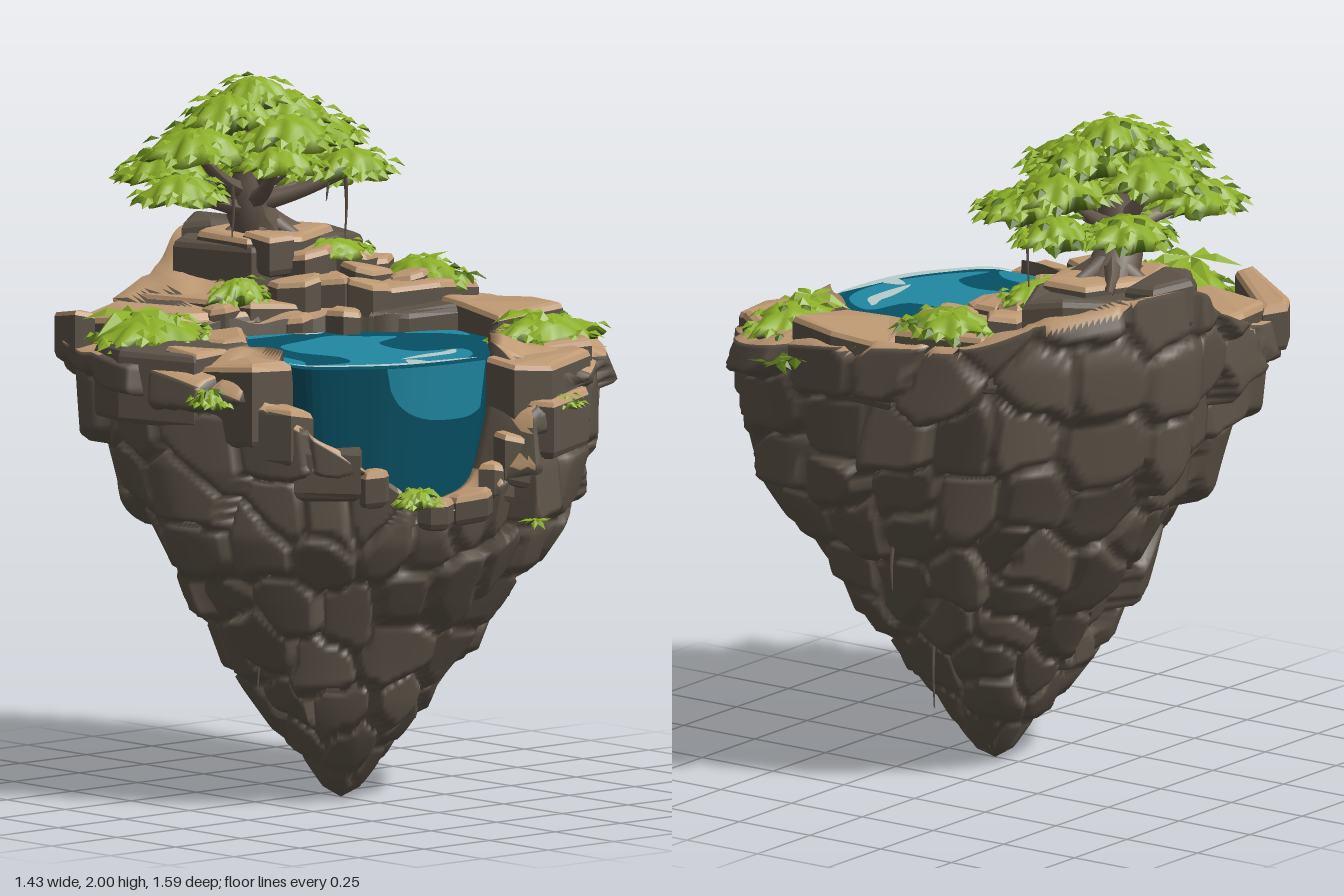
import * as THREE from 'three';

const mat = (name, color, side = THREE.FrontSide) => Object.assign(new THREE.MeshStandardMaterial({ color, side }), { name });
const V = (x, y, z) => new THREE.Vector3(x, y, z);
const { smoothstep, lerp } = THREE.MathUtils;

export function createModel() {
  const root = new THREE.Group();
  const rock = mat('rock', 0x5d5448), tan = mat('sandstone', 0xbf9a74), bark = mat('bark', 0x65574b);
  const leafMat = mat('leaf green', 0x8aad27, THREE.DoubleSide), deepLeaf = mat('deep leaf green', 0x4f6e10, THREE.DoubleSide);
  const water = mat('deep water', 0x065064), shallow = mat('bright water', 0x1f88a2, THREE.DoubleSide);
  const foam = mat('foam', 0xb8cccc, THREE.DoubleSide);
  let seed = 7;
  const rnd = (a = 0, b = 1) => { seed = (seed * 16807) % 2147483647; return a + (b - a) * seed / 2147483647; };
  const add = (name, geo, m, parent = root) => {
    const mesh = new THREE.Mesh(geo, m);
    mesh.name = name;
    parent.add(mesh);
  };

  // Sorts triangles into two material groups; paint(normal, corner, corner number) gives 0 or 1
  function paintFaces(g, idx, paint) {
    const lists = [[], []], a = V(), b = V(), c = V(), p = g.attributes.position;
    for (let i = 0; i < idx.length; i += 3) {
      [a, b, c].forEach((v, k) => v.fromBufferAttribute(p, idx[i + k]));
      const n = b.sub(a).cross(c.sub(a)).normalize();
      lists[paint(n, a, idx[i])].push(idx[i], idx[i + 1], idx[i + 2]);
    }
    g.clearGroups();
    g.setIndex([...lists[0], ...lists[1]]);
    g.addGroup(0, lists[0].length, 0);
    g.addGroup(lists[0].length, lists[1].length, 1);
    g.computeVertexNormals();
    return g;
  }
  // Closed loops of points joined into a skin
  function loft(rows, paint) {
    const n = rows[0].length, idx = [];
    for (let i = 0; i < rows.length - 1; i++) for (let j = 0; j < n; j++) {
      const a = i * n + j, c = i * n + (j + 1) % n;
      idx.push(a, a + n, c, a + n, c + n, c);
    }
    return paintFaces(new THREE.BufferGeometry().setFromPoints(rows.flat()), idx, paint);
  }

  // Matching points of the cliff rim (x, y, z) and the pond edge (x, z)
  const edge = [
    [.17, 1.54, -.76, .08, -.13], [.51, 1.49, -.52, .2, -.08], [.62, 1.4, -.3, .25, 0], [.64, 1.36, 0, .42, .1],
    [.65, 1.32, .3, .39, .3], [.59, 1.28, .5, .28, .4], [.4, 1.25, .69, .2, .5], [.18, 1.17, .76, .13, .57],
    [.08, .97, .75, .05, .58], [-.05, .9, .73, -.05, .575], [-.2, .91, .66, -.18, .55], [-.31, .98, .59, -.29, .49],
    [-.45, 1.1, .45, -.4, .39], [-.55, 1.2, .3, -.4, .28], [-.64, 1.26, .1, -.38, .12], [-.69, 1.29, -.08, -.33, .05],
    [-.64, 1.3, -.25, -.26, -.03], [-.56, 1.29, -.38, -.28, -.14], [-.45, 1.3, -.58, -.29, -.27],
    [-.25, 1.33, -.64, -.18, -.23], [0, 1.44, -.69, -.05, -.19]];
  const rim = new THREE.CatmullRomCurve3(edge.map(e => V(e[0], e[1], e[2])), true, 'centripetal');
  const pond = new THREE.CatmullRomCurve3(edge.map(e => V(e[3], 1.3, e[4])), true, 'centripetal');

  // Cliff width against height
  const widths = [[0, 0], [.03, .07], [.1, .14], [.2, .24], [.4, .42], [.6, .61], [.8, .79], [1, .9], [1.2, .97], [1.35, 1], [2, 1]];
  const widthAt = y => {
    const k = Math.max(1, widths.findIndex(w => w[0] >= y)), [a, b] = [widths[k - 1], widths[k]];
    return lerp(a[1], b[1], (y - a[0]) / (b[0] - a[0]));
  };

  // Stone blocks: staggered cells with their own offset and tilt, larger towards the top
  const cells = [];
  for (let y = .06; y < 1.7; y += .12 + .06 * y) {
    const n = Math.max(5, Math.round(4.4 * widthAt(y) / (.15 + .05 * y))), o = rnd();
    for (let j = 0; j < n; j++) cells.push({
      u: ((j + o + rnd(-.32, .32)) / n + 1) % 1, y: y + rnd(-.055, .055), off: rnd(-.018, .036), tu: rnd(-.2, .2), ty: rnd(-.5, 0) });
  }
  function stone(u, y, s) {
    let d1 = 9, d2 = 9, cell, cu, cy;
    for (const c of cells) {
      const dy = y - c.y;
      if (Math.abs(dy) > .4) continue;
      const dt = u - c.u, du = (dt - Math.round(dt)) * 4.4 * s;
      const d = (du ** 4 + (dy * .9) ** 4) ** .25;
      if (d < d1) { d2 = d1; d1 = d; cell = c; cu = du; cy = dy; } else if (d < d2) d2 = d;
    }
    return (cell.off + cell.tu * cu + cell.ty * cy - .028 * (1 - smoothstep(d2 - d1, 0, .026))) * Math.min(1, s * 3);
  }

  // Cliff body, level courses from its tip, then up to the rim, over the top and into the pond
  const N = 280, M = 96, rows = [];
  for (let i = 0; i <= M + 10; i++) {
    const row = [];
    for (let j = 0; j < N; j++) {
      const t = rim.getUtoTmapping(j / N), r = rim.getPoint(t), p = pond.getPoint(t);
      if (i <= M) {
        const y = i < 58 ? .85 * i / 58 : lerp(.85, r.y, (i - 58) / (M - 58));
        const s = widthAt(y), d = stone(j / N, y, s) / Math.hypot(r.x, r.z);
        row.push(V(r.x * (s + d), y, r.z * (s + d) + .085 * (1 - smoothstep(y, .7, 1.4))));
      } else {
        const f = Math.min(1, (i - M) / 8), inner = r.y > 1.19 ? 1.33 : r.y;
        const q = rows[M][j].clone().lerp(V(p.x, inner, p.z), f);
        q.y = i > M + 8 ? Math.min(.85, inner) : q.y + .012 * Math.sin(q.x * 31) * Math.sin(q.z * 27 + 1) + .012 * Math.min(1, f * 6);
        row.push(q);
      }
    }
    rows.push(row);
  }
  add('cliffBody', loft(rows, (n, p, k) => k >= N * (M - 1) && n.y > .4 && Math.sin(p.x * 13 + 1) + Math.sin(p.z * 15) > -1.1 ? 1 : 0), [rock, tan]);

  // Bevelled slabs along the top
  const flatShape = pts => new THREE.Shape(pts.map(([x, z]) => new THREE.Vector2(x, -z)));
  function slab(name, pts, y0, y1, top = tan, lean = 0) {
    const b = .02;
    const g = new THREE.ExtrudeGeometry(flatShape(pts), { depth: y1 - y0 - 2 * b, bevelSize: b, bevelOffset: -b, bevelThickness: b, bevelSegments: 2 });
    g.rotateX(-Math.PI / 2).translate(0, y0 + b, 0);
    const a = g.attributes.position;
    for (let i = 0; i < a.count; i++) a.setY(i, a.getY(i) + lean * a.getX(i) + .012 * Math.sin(a.getX(i) * 17 + a.getZ(i) * 11));
    add(name, paintFaces(g, Array.from({ length: a.count }, (_, i) => i), n => n.y > .3 ? 1 : 0), [rock, top]);
  }
  slab('leftSlab', [[-.69, -.09], [-.62, -.27], [-.45, -.34], [-.3, -.25], [-.25, -.05], [-.37, .11], [-.59, .12]], 1.12, 1.335, rock);
  slab('leftSlabCap', [[-.42, -.08], [-.3, -.16], [-.25, -.05], [-.37, .1], [-.43, .06]], 1.2, 1.35);
  slab('leftOuterSlab', [[-.6, .01], [-.47, .03], [-.46, .12], [-.58, .12]], 1.2, 1.345);
  slab('backLeftSlab', [[-.43, -.56], [-.24, -.62], [-.1, -.58], [-.05, -.2], [-.28, -.27], [-.43, -.36]], 1.2, 1.36);
  slab('backSlab', [[-.14, -.62], [.02, -.64], [.1, -.5], [.08, -.18], [-.08, -.21]], 1.2, 1.39);
  slab('treeTerrace', [[-.01, -.62], [.16, -.72], [.3, -.66], [.47, -.5], [.5, -.38], [.36, -.32], [.04, -.34]], 1.34, 1.53, rock);
  slab('treeTerraceCap', [[.02, -.55], [.16, -.6], [.36, -.5], [.37, -.36], [.2, -.3], [.04, -.36]], 1.4, 1.55);
  slab('rearBoulder', [[.05, -.65], [.17, -.74], [.28, -.68], [.28, -.58], [.1, -.58]], 1.42, 1.565, rock);
  slab('rightRearSlab', [[.48, -.38], [.59, -.3], [.62, -.02], [.44, .02], [.25, -.07], [.3, -.25]], 1.25, 1.42);
  slab('rightInnerSlab', [[.22, -.04], [.3, -.12], [.46, -.05], [.44, .12], [.3, .04]], 1.2, 1.365, rock);
  slab('rightSlab', [[.44, .02], [.64, -.02], [.66, .18], [.61, .35], [.39, .32], [.42, .13]], 1.18, 1.38);
  slab('frontRightSlab', [[.27, .41], [.4, .32], [.61, .31], [.59, .48], [.47, .63], [.28, .52]], 1.12, 1.32);
  slab('frontSlab', [[.12, .57], [.26, .47], [.46, .56], [.42, .68], [.22, .74], [.13, .68]], 1.08, 1.3);
  slab('frontLowSlab', [[.14, .66], [.25, .66], [.42, .66], [.36, .74], [.2, .77]], 1.03, 1.2);
  slab('leftStepHigh', [[-.56, .12], [-.39, .11], [-.4, .33], [-.54, .31]], 1.07, 1.31);
  slab('leftStepMiddle', [[-.53, .28], [-.4, .28], [-.395, .41], [-.48, .41]], 1.02, 1.19);
  slab('leftStepLow', [[-.46, .4], [-.39, .38], [-.29, .5], [-.34, .55]], .93, 1.08, rock);
  slab('leaningStone', [[-.58, -.4], [-.53, -.37], [-.38, -.58], [-.43, -.63], [-.47, -.61]], 1.07, 1.21, tan, -.36);

  // Loose stones: x, z, radius, bottom, top
  [[.16, -.08, .06, 1.25, 1.36], [.27, -.1, .07, 1.3, 1.44], [.06, -.17, .05, 1.25, 1.36], [-.15, -.27, .06, 1.28, 1.38],
    [.33, -.18, .08, 1.35, 1.47], [.42, -.1, .06, 1.35, 1.45], [.08, .66, .06, .9, 1.01], [.13, .69, .06, .95, 1.1],
    [-.12, .63, .06, .85, .94], [-.02, .66, .07, .85, .94], [-.29, .55, .05, .9, 1.01], [.11, -.24, .08, 1.3, 1.45], [.21, -.2, .08, 1.3, 1.44],
    [.36, -.28, .08, 1.35, 1.5], [.22, -.3, .09, 1.4, 1.51], [.12, -.36, .08, 1.45, 1.57], [.45, -.3, .07, 1.35, 1.48]].forEach(([x, z, r, y0, y1], k) => {
    const n = 5 + k % 3, pts = Array.from({ length: n }, (_, i) => {
      const a = (i + rnd(-.2, .2)) * Math.PI * 2 / n + k, q = r * rnd(.8, 1.15);
      return [x + q * Math.cos(a), z + q * Math.sin(a)];
    });
    slab('looseStone', pts, y0, y1);
  });

  // Pond narrowing downwards behind its open front wall, with bright patches and foam
  const taper = (x, y, z, out = 0) => {
    const k = 1 - .14 * (1.3 - y) / .46;
    return V(-.06 + (x + .06) * k, y, .2 + (z - .2) * k + out);
  };
  const outline = Array.from({ length: 120 }, (_, i) => { const p = pond.getPoint(i / 120); return [p.x, p.z]; });
  const body = new THREE.ExtrudeGeometry(flatShape(outline), { depth: .42, bevelEnabled: false }).rotateX(-Math.PI / 2).translate(0, .88, 0);
  const bp = body.attributes.position;
  for (let i = 0; i < bp.count; i++) bp.setXYZ(i, ...taper(bp.getX(i), bp.getY(i), bp.getZ(i)));
  body.computeVertexNormals();
  add('pondWater', body, water);
  const plate = (name, pts, y, m) => {
    const c = new THREE.CatmullRomCurve3(pts.map(([x, z]) => V(x, 0, z)), true, 'centripetal');
    add(name, new THREE.ShapeGeometry(flatShape(c.getPoints(70).slice(0, -1).map(p => [p.x, p.z]))).rotateX(-Math.PI / 2).translate(0, y, 0), m);
  };
  plate('brightWaterCentre', [[-.18, .03], [-.05, -.01], [.07, -.03], [.13, .04], [.2, .1], [.07, .17], [.05, .35], [.18, .4], [.11, .52],
    [-.05, .545], [-.26, .46], [-.36, .37], [-.24, .39], [-.19, .3], [-.22, .15]], 1.304, shallow);
  plate('brightWaterLeft', [[-.38, .14], [-.3, .06], [-.25, .02], [-.3, .14], [-.33, .3], [-.385, .35]], 1.304, shallow);
  plate('brightWaterBack', [[-.26, -.2], [-.14, -.19], [.02, -.13], [-.08, -.13], [-.2, -.15]], 1.304, shallow);
  plate('brightWaterRight', [[.26, .06], [.4, .12], [.37, .22], [.34, .15]], 1.304, shallow);
  function ribbon(name, pairs, m) {
    const g = new THREE.BufferGeometry().setFromPoints(pairs.flat()), idx = [];
    for (let i = 0; i < pairs.length - 1; i++) idx.push(2 * i, 2 * i + 1, 2 * i + 2, 2 * i + 1, 2 * i + 3, 2 * i + 2);
    g.setIndex(idx);
    g.computeVertexNormals();
    add(name, g, m);
  }
  const steps = Array.from({ length: 31 }, (_, i) => i / 30);
  ribbon('brightFrontWater', steps.map(f => {
    const p = pond.getPoint(lerp(7.3, 10.4, f) / 21), u = (f - .4) / .6;
    return [taper(p.x, 1.3, p.z, .006), taper(p.x, 1.298 - .16 * Math.sqrt(1 - Math.abs(u) ** 3), p.z, .006)];
  }).reverse(), shallow);
  const foamArc = (name, a, b, k, w) => ribbon(name, steps.map(f => {
    const p = pond.getPoint(lerp(a, b, f) / 21), h = w * Math.sin(Math.PI * f) ** .6;
    const at = s => V(-.03 + (p.x + .03) * s, 1.308, .12 + (p.z - .12) * s);
    return [at(k), at(k - h)];
  }), foam);
  foamArc('rimFoam', 7.5, 12.8, .99, .075);
  foamArc('innerFoam', 6, 9.6, .77, .1);
  foamArc('foamLink', 9.2, 9.7, .93, .14);
  foamArc('backFoam', 17.4, 18.6, .9, .05);
  foamArc('smallFoam', 20.4, 21.2, .8, .08);

  // One folded leaf as four triangles
  function leaf(out, p, yaw, len, wid, drop) {
    const at = (f, s, y) => V(p.x + Math.cos(yaw) * f - Math.sin(yaw) * s, p.y + y, p.z + Math.sin(yaw) * f + Math.cos(yaw) * s);
    const B = at(0, 0, 0), L = at(len * .5, wid, -drop * .3), R = at(len * .5, -wid, -drop * .3), Mid = at(len * .5, 0, wid * .3), T = at(len, 0, -drop);
    out.push(B, L, Mid, L, T, Mid, B, Mid, R, Mid, T, R);
  }
  const leafMesh = (name, pts, m, parent) => {
    const g = new THREE.BufferGeometry().setFromPoints(pts);
    g.computeVertexNormals();
    add(name, g, m, parent);
  };
  // Lumpy cushion with a toothed edge and shingled leaves
  function foliage(name, x, y, z, rx, rz, h, droop, size, count) {
    const g = new THREE.Group(), k = rnd(0, 6), n = 54, loops = [], light = [], dark = [];
    g.name = name;
    root.add(g);
    const at = (f, a) => {
      const tooth = 1 + .15 * f * f * Math.sin(a * 9 + k) + .1 * f * Math.sin(a * 4 + k * 2);
      return V(x + rx * f * tooth * Math.cos(a), y + h * (1 - f ** 2) - droop * f ** 3 + .35 * h * Math.sin(a * 5 + f * 8 + k) * f * (1 - f * .5), z + rz * f * tooth * Math.sin(a));
    };
    for (const f of [0, .5, 1, .85, .65, .45, .22, 0]) loops.push(Array.from({ length: n }, (_, j) => {
      const p = at(f, j / n * Math.PI * 2);
      if (loops.length < 2) p.y = y - droop * .5;
      return p;
    }));
    add('cushion', loft(loops, nn => nn.y > .35 ? 0 : 1), [leafMat, deepLeaf], g);
    for (let i = 0; i < count; i++) {
      const f = i % 2 ? .88 : Math.sqrt(rnd(.05, .8)), a = i * 2.4, p = at(f, a);
      p.y += .004;
      leaf(i % 5 ? light : dark, p, a + rnd(-.4, .4), size * rnd(.8, 1.3), size * .4, size * (.1 + .4 * f));
    }
    leafMesh('leaves', light, leafMat, g);
    leafMesh('shadedLeaves', dark, deepLeaf, g);
  }
  const fern = (x, y, z, r, n = 8) => {
    const pts = [];
    for (let i = 0; i < n; i++) leaf(pts, V(x, y, z), i / n * Math.PI * 2 + rnd(-.2, .2), r * rnd(.85, 1.15), r * .2, r * rnd(-.1, .5));
    leafMesh('fern', pts, n % 2 ? deepLeaf : leafMat, root);
  };

  // Grass mounds and ferns
  [[-.46, 1.34, -.2, .18, .15, .05], [.45, 1.33, .45, .18, .11, .05], [.52, 1.42, -.15, .11, .14, .05], [.31, 1.5, -.29, .13, .07, .03],
    [-.04, 1.4, -.3, .1, .07, .05], [-.19, .93, .62, .06, .05, .03], [-.6, 1.21, .19, .04, .06, .03], [.28, 1.18, .74, .05, .02, .02]]
    .forEach(m => foliage('grassMound', ...m, .02, .02 + m[4] * .2, 24));
  [[-.52, 1.41, -.22, .14, 6], [.4, 1.39, .44, .1, 6], [.55, 1.47, -.17, .08, 6], [.64, 1.28, .32, .09, 9], [-.19, .96, .64, .07, 8], [.12, .86, .78, .05, 8],
    [-.6, 1.24, .2, .05, 7], [.6, 1.43, -.05, .06, 7], [.65, 1.26, .38, .07, 7], [-.42, 1.4, -.14, .06, 8]].forEach(f => fern(...f));

  // Tapered limbs of the tree
  function limb(name, pts, r0, r1, sides = 8) {
    const c = new THREE.CatmullRomCurve3(pts.map(p => V(...p))), n = 12, g = new THREE.TubeGeometry(c, n, 1, sides), a = g.attributes.position, v = V();
    for (let i = 0; i < a.count; i++) {
      const f = Math.floor(i / (sides + 1)) / n, p = c.getPointAt(f);
      v.fromBufferAttribute(a, i).sub(p).multiplyScalar(lerp(r0, r1, f)).add(p);
      a.setXYZ(i, v.x, v.y, v.z);
    }
    g.computeVertexNormals();
    add(name, g, bark);
  }
  limb('trunk', [[.21, 1.47, -.46], [.17, 1.56, -.46], [.12, 1.63, -.45], [.13, 1.75, -.43], [.14, 1.93, -.43]], .09, .02, 10);
  for (let i = 0; i < 6; i++) {
    const a = i * 1.05 + .3, c = Math.cos(a), s = Math.sin(a);
    limb('root', [[.18, 1.6, -.46], [.19 + c * .07, 1.56, -.46 + s * .07], [.2 + c * .15, 1.53, -.46 + s * .13]], .035, .012, 6);
  }

  // Canopy pads, each carried by a branch
  [[-.16, 1.7, -.42, .12, .045], [.39, 1.71, -.42, .11, .045], [.33, 1.75, -.24, .12, .045], [.04, 1.79, -.23, .12, .04], [.26, 1.71, -.58, .13, .045],
    [-.09, 1.74, -.57, .13, .045], [-.11, 1.82, -.4, .15, .055], [.33, 1.82, -.4, .14, .055], [.12, 1.85, -.28, .14, .055], [.13, 1.84, -.56, .15, .055],
    [.04, 1.9, -.43, .13, .055], [.22, 1.89, -.4, .13, .055], [.14, 1.95, -.44, .11, .045]].forEach(([x, y, z, r, h], i) => {
    foliage('canopyPad', x, y, z, r, r * .95, h, .03, .05, 30);
    if (i < 10) limb('branch', [[.13, 1.61 + i * .008, -.45], [lerp(.13, x, .5), 1.65 + i * .01, lerp(-.45, z, .5)], [x, y - .02, z]], .03, .012, 6);
  });

  // Hanging vines and loose roots: x, z, top, length
  [[-.07, -.3, 1.72, .15], [.36, -.3, 1.73, .21], [.2, -.2, 1.76, .1], [-.33, .1, .52, .18], [.27, .1, .45, .25], [.47, .1, .72, .13],
    [.05, -.24, .5, .16], [-.2, -.2, .65, .13], [.3, .3, .52, .1]].forEach(([x, z, y, l]) =>
    limb('hangingVine', [[x, y, z], [x + .006, y - l * .5, z], [x, y - l, z]], .007, .002, 5));
  return root;
}
